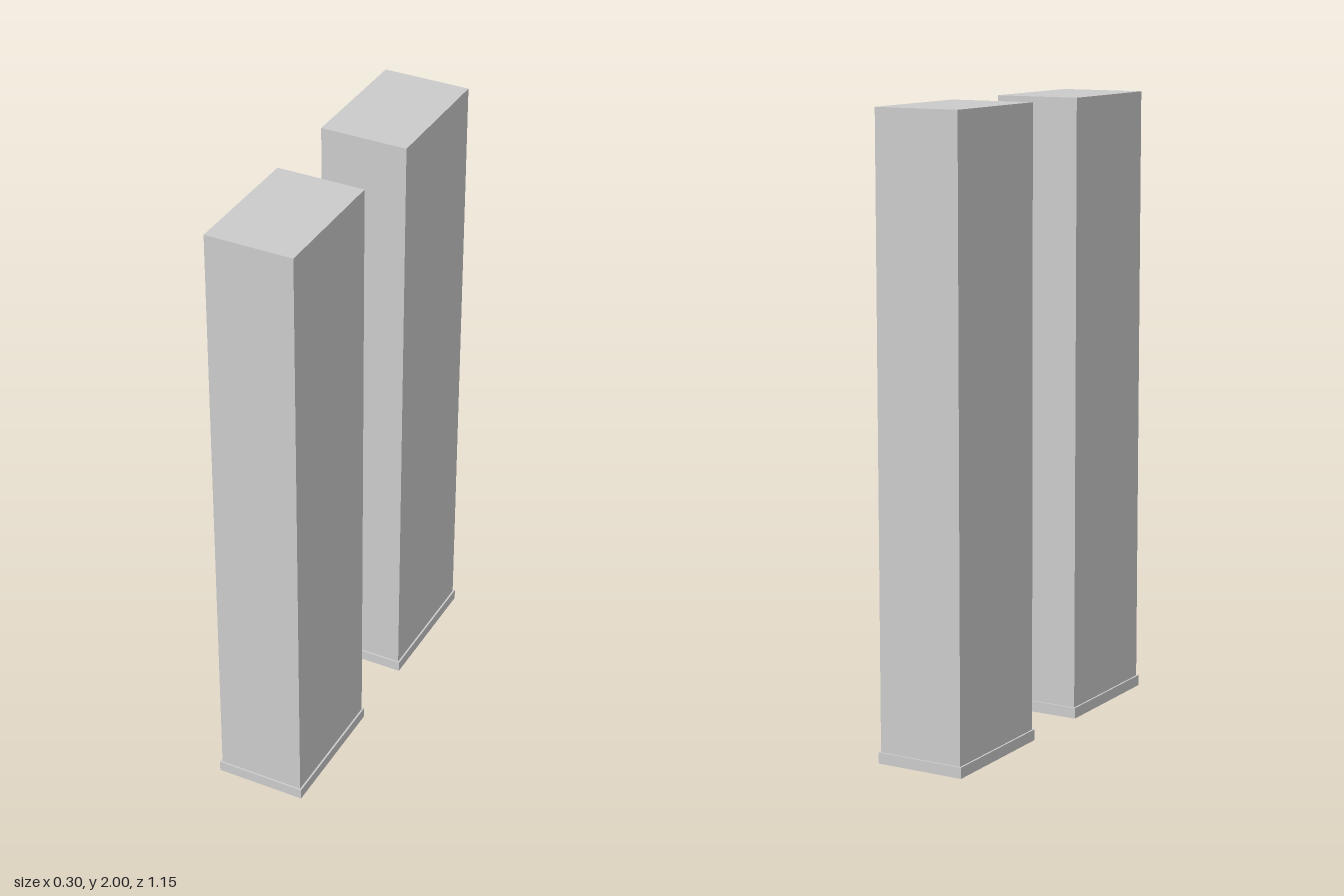
import * as THREE from 'three';

const BASE_H = 0.035;

export function createModel() {
  const model = new THREE.Group();
  const material = new THREE.MeshStandardMaterial({ color: 0xcccccc, flatShading: true });

  // box standing on height y
  function block(name, w, h, d, y) {
    const mesh = new THREE.Mesh(new THREE.BoxGeometry(w, h, d), material);
    mesh.name = name;
    mesh.position.y = y + h / 2;
    return mesh;
  }

  // two matching rectangular pillars, each on a slightly wider base
  for (const [name, side] of [['frontPillar', 1], ['backPillar', -1]]) {
    const pillar = new THREE.Group();
    pillar.name = name;
    pillar.position.z = side * 0.354;
    pillar.add(
      block('base', 0.296, BASE_H, 0.446, 0),
      block('shaft', 0.284, 2 - BASE_H, 0.434, BASE_H)
    );
    model.add(pillar);
  }
  return model;
}
